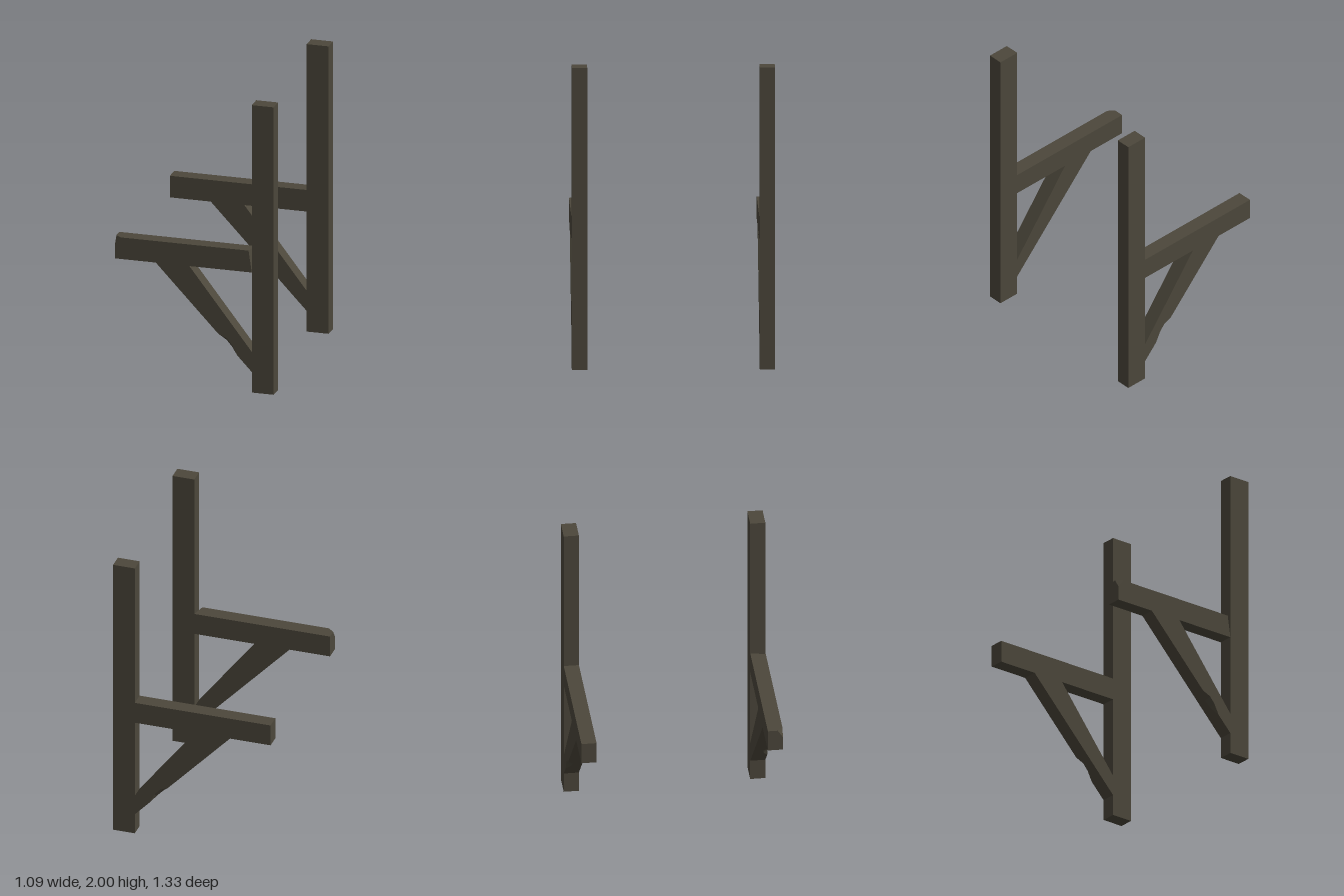
import * as THREE from 'three';
import { ConvexGeometry } from 'three/addons/geometries/ConvexGeometry.js';

const INNER = 0.565, OUTER = 0.665;

const wood = new THREE.MeshStandardMaterial({ color: 0x4c473b });
wood.name = 'dark weathered wood';

function part(name, geometry) {
  const mesh = new THREE.Mesh(geometry, wood);
  mesh.name = name;
  return mesh;
}

// Square upright
function post(side) {
  const g = new THREE.BoxGeometry(0.15, 2, OUTER - INNER);
  g.translate(0.467, 1, side * (INNER + OUTER) / 2);
  return part('post', g);
}

// Horizontal arm; the front one has chipped upper corners
function arm(side) {
  const x0 = -0.545, x1 = 0.392, y0 = 0.835, y1 = 0.985;
  const pts = [
    [x0, y0, INNER], [x1, y0, INNER], [x0, y1, INNER], [x1, y1, INNER],
    [x0, y0, OUTER], [x1, y0, OUTER],
  ];
  if (side > 0) {
    pts.push([x0 + 0.04, y1, OUTER], [x0, y1 - 0.055, OUTER], [x0, y1, OUTER - 0.035]);
    pts.push([x1 - 0.022, y1, OUTER]);
  } else {
    pts.push([x0, y1, OUTER], [x1, y1, OUTER]);
  }
  return part('arm', new ConvexGeometry(pts.map(([x, y, z]) => new THREE.Vector3(x, y, side * z))));
}

// Tapered diagonal with a notch along its lower outer edge
function brace(side) {
  const lowA = new THREE.Vector2(-0.265, 0.835), lowB = new THREE.Vector2(0.392, 0.143);
  const topA = new THREE.Vector2(-0.035, 0.835), topB = new THREE.Vector2(0.392, 0.283);
  // [position along the brace, notch height fraction, notch depth]
  const sections = [[0, 0, 0], [0.65, 0, 0], [0.72, 0.22, 0.035], [0.78, 0.2, 0.03], [0.85, 0, 0], [1, 0, 0]];
  const rings = sections.map(([t, up, inset]) => {
    const low = lowA.clone().lerp(lowB, t), top = topA.clone().lerp(topB, t);
    const cut = low.clone().lerp(top, up);
    return [[low, INNER], [low, OUTER - inset], [cut, OUTER], [top, OUTER], [top, INNER]]
      .map(([p, z]) => [p.x, p.y, side * z]);
  });
  const pos = [];
  const tri = (a, b, c) => pos.push(...(side > 0 ? [...a, ...b, ...c] : [...a, ...c, ...b]));
  for (let i = 0; i < rings.length - 1; i++) {
    for (let j = 0; j < 5; j++) {
      const k = (j + 1) % 5, a = rings[i], b = rings[i + 1];
      tri(a[j], b[j], b[k]);
      tri(a[j], b[k], a[k]);
    }
  }
  const g = new THREE.BufferGeometry();
  g.setAttribute('position', new THREE.Float32BufferAttribute(pos, 3));
  g.computeVertexNormals();
  return part('brace', g);
}

export function createModel() {
  const model = new THREE.Group();
  model.name = 'pair of braced brackets';
  for (const side of [1, -1]) {
    const bracket = new THREE.Group();
    bracket.name = side > 0 ? 'frontBracket' : 'backBracket';
    bracket.add(post(side), arm(side), brace(side));
    model.add(bracket);
  }
  return model;
}
